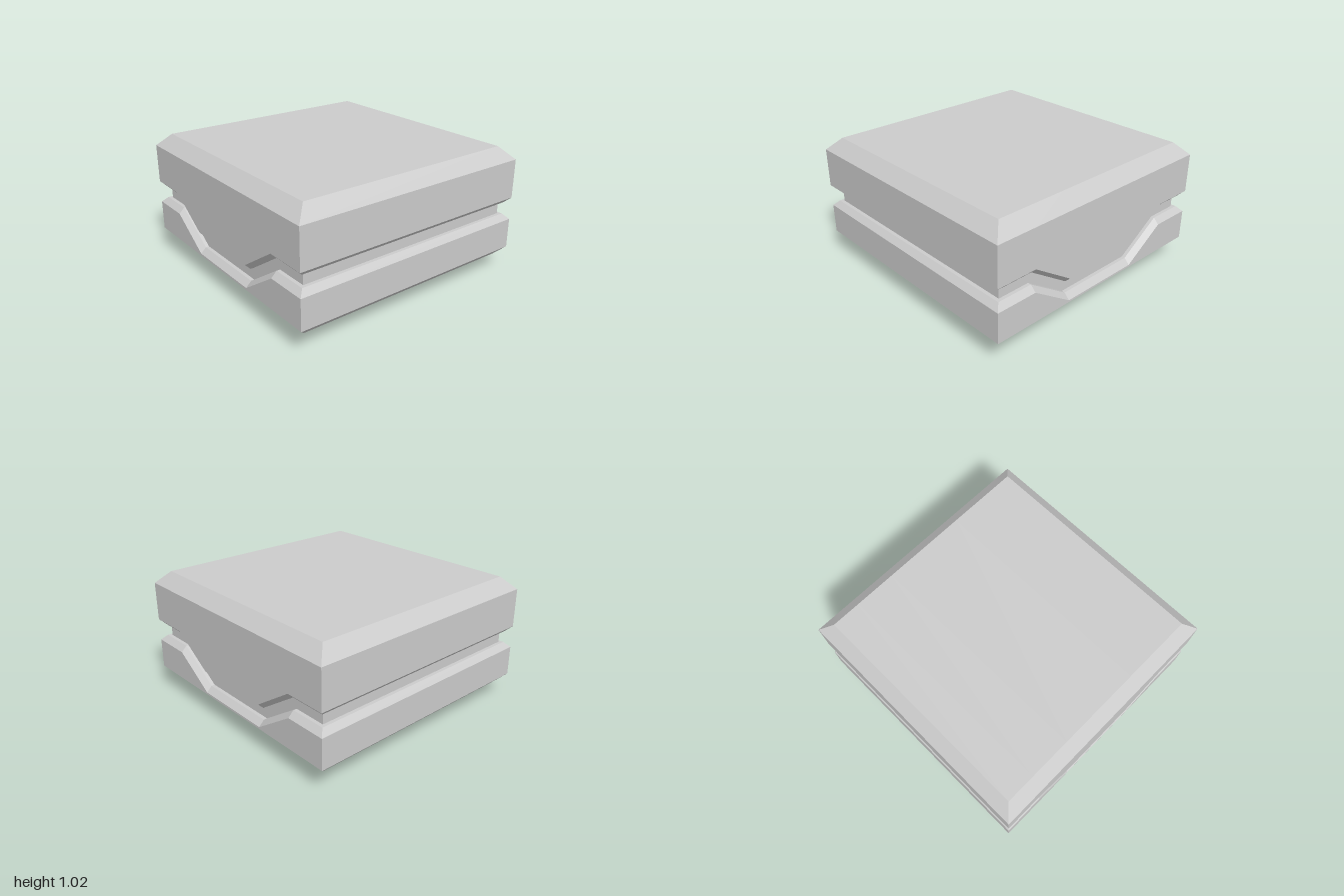
import * as THREE from 'three';

const grey = new THREE.MeshStandardMaterial({ color: 0xcccccc, flatShading: true });
const pink = new THREE.MeshStandardMaterial({ color: 0xe8a4c5 });
const pinkInside = new THREE.MeshStandardMaterial({ color: 0xe8a4c5, side: THREE.BackSide });

const STOPS = [-1, -0.67, -0.335, 0.335, 0.67, 1];
const N = STOPS.length;

// Height of the parting line: high at the sides, dipping by 0.222 in the middle
const dipped = (high) => (i) => (i === 2 || i === 3 ? high - 0.222 : high);
const level = (y) => () => y;

// Square section: half width plus a height for each x stop, front edge then back edge
function section(half, height) {
  const row = STOPS.map((x, i) => [THREE.MathUtils.clamp(x, -half, half), height(i)]);
  return [
    ...row.map(([x, y]) => [x, y, half]),
    ...row.map(([x, y]) => [x, y, -half]).reverse(),
  ];
}

// Closed shell through sections listed from bottom to top
function shell(name, sections) {
  const pos = [];
  const quad = (a, b, c, d) => pos.push(...a, ...b, ...c, ...a, ...c, ...d);
  const count = 2 * N;
  for (let s = 0; s < sections.length - 1; s++) {
    const lo = sections[s], hi = sections[s + 1];
    for (let i = 0; i < count; i++) {
      const j = (i + 1) % count;
      quad(lo[i], lo[j], hi[j], hi[i]);
    }
  }
  // Caps, as strips running from front to back
  const bottom = sections[0], top = sections[sections.length - 1];
  for (let i = 0; i < N - 1; i++) {
    const k = count - 1 - i;
    quad(top[i], top[i + 1], top[k - 1], top[k]);
    quad(bottom[k], bottom[k - 1], bottom[i + 1], bottom[i]);
  }
  const geometry = new THREE.BufferGeometry();
  geometry.setAttribute('position', new THREE.Float32BufferAttribute(pos, 3));
  geometry.computeVertexNormals();
  const mesh = new THREE.Mesh(geometry, grey);
  mesh.name = name;
  return mesh;
}

// Hollow twelve-sided foot ring
function footRing() {
  const ring = new THREE.Group();
  ring.name = 'footRing';
  const outer = 0.57, inner = 0.43, height = 0.13, sides = 12;
  const add = (name, geometry, material, y) => {
    const mesh = new THREE.Mesh(geometry, material);
    mesh.name = name;
    mesh.position.y = y;
    ring.add(mesh);
  };
  const wall = (r) => new THREE.CylinderGeometry(r, r, height, sides, 1, true);
  add('ringOuterWall', wall(outer), pink, height / 2);
  add('ringInnerWall', wall(inner), pinkInside, height / 2);
  add('ringUnderside', new THREE.RingGeometry(inner, outer, sides).rotateX(Math.PI / 2), pink, 0);
  return ring;
}

export function createModel() {
  const model = new THREE.Group();
  model.name = 'splitBlock';

  // Lower half: bevelled base and bevelled parting edge
  model.add(shell('lowerHalf', [
    section(0.93, level(0.125)),
    section(1, level(0.195)),
    section(1, dipped(0.433)),
    section(0.957, dipped(0.476)),
  ]));

  // Upper half: bevelled parting edge and chamfered lid
  model.add(shell('upperHalf', [
    section(0.957, dipped(0.57)),
    section(1, dipped(0.613)),
    section(1, level(0.923)),
    section(0.9, level(1.023)),
  ]));

  // Recessed core seen through the gap
  const core = new THREE.Mesh(new THREE.BoxGeometry(1.86, 0.7, 1.86), grey);
  core.name = 'core';
  core.position.y = 0.52;
  model.add(core);

  model.add(footRing());
  return model;
}
